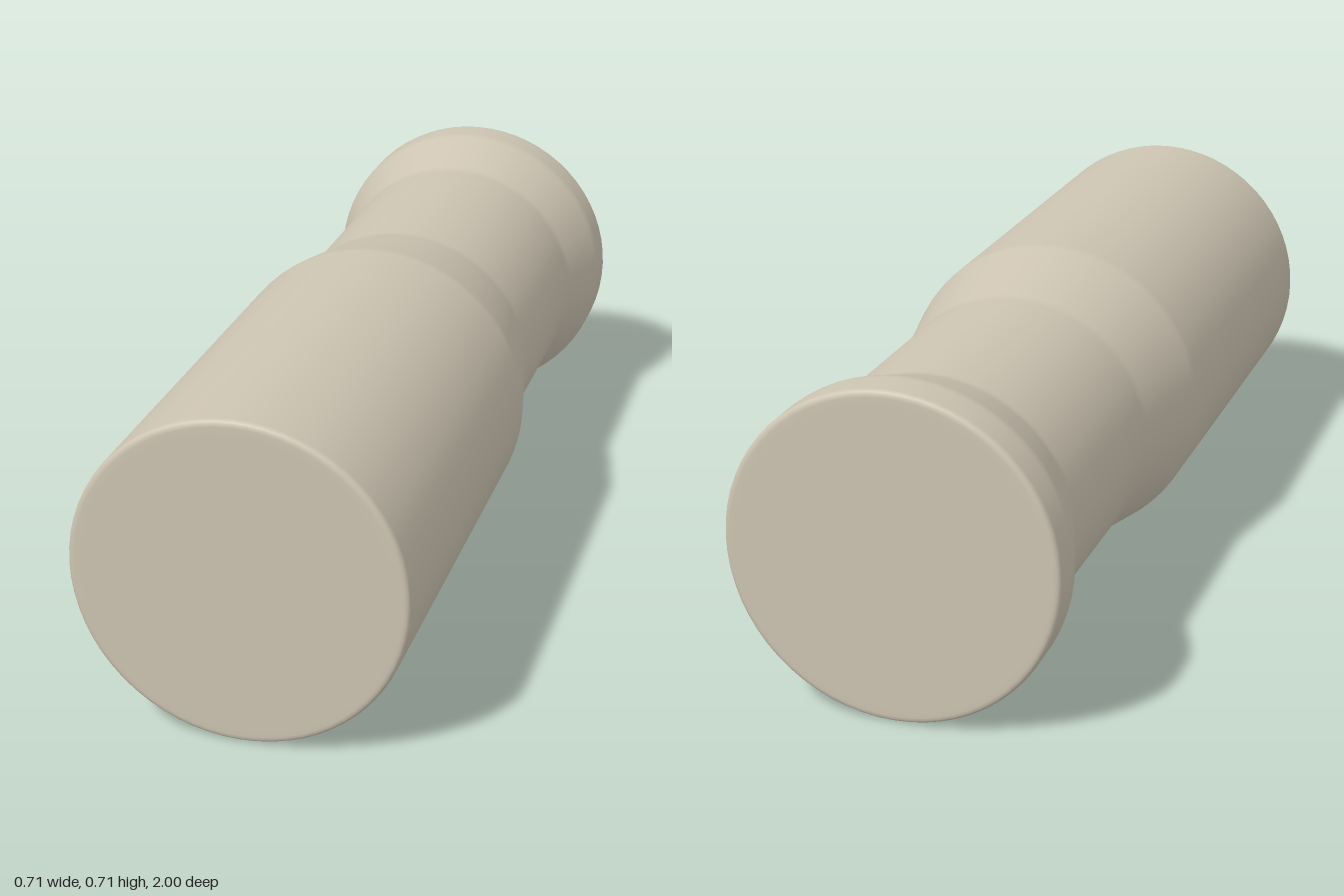
import * as THREE from 'three';

export function createModel() {
  const model = new THREE.Group();
  model.name = 'handle';
  const stone = new THREE.MeshStandardMaterial({ color: 0xcdc4b2 });
  stone.name = 'warm beige';

  const R = 0.354, NECK = 0.305, B = 0.014;
  // Corners of the profile as [radius, z], from the back end to the front end
  const corners = [
    [R, -1], [R, -0.91], [NECK, -0.76], [NECK, -0.24], [R, 0.01], [R, 1],
  ].map(([r, z]) => new THREE.Vector2(r, z));

  // Soften every corner with a small curve
  const profile = [new THREE.Vector2(0, -1), new THREE.Vector2(R - 2 * B, -1)];
  corners.forEach((p, i) => {
    const before = corners[i - 1] ?? new THREE.Vector2(0, -1);
    const after = corners[i + 1] ?? new THREE.Vector2(0, 1);
    const towards = (q) => p.clone().add(q.clone().sub(p).setLength(B));
    profile.push(...new THREE.QuadraticBezierCurve(towards(before), p, towards(after)).getPoints(4));
  });
  profile.push(new THREE.Vector2(R - 2 * B, 1), new THREE.Vector2(0, 1));

  // Turned body, laid along z
  const body = new THREE.Mesh(new THREE.LatheGeometry(profile, 64).rotateX(Math.PI / 2), stone);
  body.name = 'turnedBody';
  body.position.y = R;
  model.add(body);
  return model;
}
